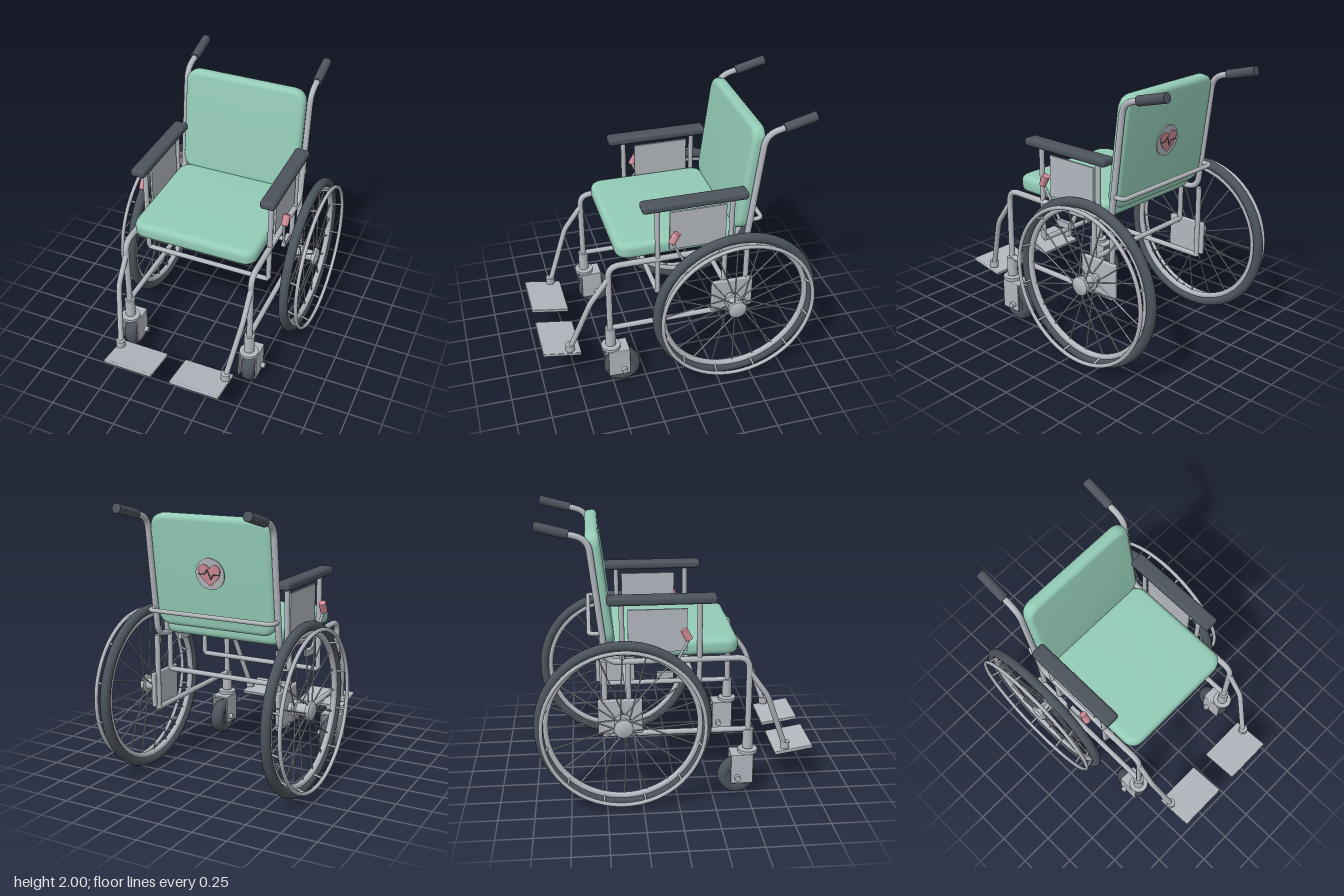
import * as THREE from 'three';
import { toCreasedNormals } from 'three/addons/utils/BufferGeometryUtils.js';
import { RoundedBoxGeometry } from 'three/addons/geometries/RoundedBoxGeometry.js';

const V = (x, y, z) => new THREE.Vector3(x, y, z);

function material(name, color) {
  const m = new THREE.MeshStandardMaterial({ color });
  m.name = name;
  return m;
}

const green = material('greenUpholstery', 0x94ccb7);
const metal = material('paleMetal', 0xb3b8bf);
const rubber = material('darkRubber', 0x4c535c);
const pink = material('pinkAccent', 0xd18c96);

function add(parent, name, geometry, mat, x = 0, y = 0, z = 0) {
  const mesh = new THREE.Mesh(geometry, mat);
  mesh.name = name;
  mesh.position.set(x, y, z);
  parent.add(mesh);
  return mesh;
}

// Straight round bar between two points
function rod(parent, name, a, b, r, mat = metal, sides = 14) {
  const d = b.clone().sub(a);
  const mesh = add(parent, name, new THREE.CylinderGeometry(r, r, d.length(), sides), mat);
  mesh.position.copy(a).add(b).multiplyScalar(0.5);
  mesh.quaternion.setFromUnitVectors(V(0, 1, 0), d.normalize());
  return mesh;
}

// Tube along straight runs joined by rounded bends
function bentTube(parent, name, pts, r, bend) {
  const path = new THREE.CurvePath();
  let from = pts[0];
  for (let i = 1; i < pts.length - 1; i++) {
    const p = pts[i];
    const before = p.clone().add(pts[i - 1].clone().sub(p).setLength(bend));
    const after = p.clone().add(pts[i + 1].clone().sub(p).setLength(bend));
    path.add(new THREE.LineCurve3(from, before));
    path.add(new THREE.QuadraticBezierCurve3(before, p, after));
    from = after;
  }
  path.add(new THREE.LineCurve3(from, pts[pts.length - 1]));
  return add(parent, name, new THREE.TubeGeometry(path, 110, r, 12), metal);
}

// Rounded rectangle slab in the XY plane with softened edges
function slab(w, h, t, corner, bevel) {
  const x = w / 2 - bevel, y = h / 2 - bevel, c = corner;
  const s = new THREE.Shape();
  s.moveTo(-x + c, -y);
  s.lineTo(x - c, -y).quadraticCurveTo(x, -y, x, -y + c);
  s.lineTo(x, y - c).quadraticCurveTo(x, y, x - c, y);
  s.lineTo(-x + c, y).quadraticCurveTo(-x, y, -x, y - c);
  s.lineTo(-x, -y + c).quadraticCurveTo(-x, -y, -x + c, -y);
  const g = new THREE.ExtrudeGeometry(s, {
    depth: t - 2 * bevel, bevelThickness: bevel, bevelSize: bevel, bevelSegments: 5, curveSegments: 6,
  });
  g.translate(0, 0, -t / 2 + bevel);
  return toCreasedNormals(g, 0.7);
}

// Large wheel, local +z points outward
function mainWheel(side) {
  const g = new THREE.Group();
  g.name = 'mainWheel';
  add(g, 'tyre', new THREE.TorusGeometry(0.573, 0.035, 14, 64), rubber);
  add(g, 'rim', new THREE.TorusGeometry(0.53, 0.022, 10, 64), metal);
  add(g, 'handRim', new THREE.TorusGeometry(0.557, 0.014, 10, 64), metal, 0, 0, 0.09);
  const polar = (r, a, z) => V(r * Math.cos(a), r * Math.sin(a), z);
  for (let i = 0; i < 12; i++) {
    const a = ((i + 0.5) / 12) * Math.PI * 2;
    rod(g, 'handRimBracket', polar(0.535, a, 0.01), polar(0.557, a, 0.09), 0.008, metal, 8);
  }
  for (let i = 0; i < 20; i++) {
    const a = (i / 20) * Math.PI * 2, twist = i % 2 ? 0.45 : -0.45;
    rod(g, 'spoke', polar(0.05, a + twist, i % 4 < 2 ? 0.045 : -0.05), polar(0.52, a, 0), 0.0055, metal, 6);
  }
  const hub = [[0, -0.13], [0.035, -0.13], [0.035, -0.07], [0.06, -0.07], [0.06, -0.045], [0.042, -0.04],
    [0.042, 0.03], [0.066, 0.035], [0.066, 0.062], [0.05, 0.072], [0, 0.072]];
  const lathe = new THREE.LatheGeometry(hub.map(p => new THREE.Vector2(...p)), 24).rotateX(Math.PI / 2);
  add(g, 'hub', toCreasedNormals(lathe, 0.6), metal);
  g.position.set(side * 0.615, 0.61, -0.38);
  g.rotation.y = side * Math.PI / 2;
  return g;
}

// Small swivelling front wheel with its fork
function caster(side) {
  const g = new THREE.Group();
  g.name = 'caster';
  const profile = [[0, -0.035], [0.06, -0.035], [0.07, -0.05], [0.105, -0.052], [0.126, -0.035], [0.136, 0],
    [0.126, 0.035], [0.105, 0.052], [0.07, 0.05], [0.06, 0.035], [0, 0.035]];
  const tyre = new THREE.LatheGeometry(profile.map(p => new THREE.Vector2(...p)), 32).rotateZ(Math.PI / 2);
  add(g, 'casterTyre', tyre, rubber, 0, 0.14, 0.425);
  for (const k of [-1, 1]) add(g, 'forkPlate', new RoundedBoxGeometry(0.014, 0.22, 0.16, 2, 0.006), metal, k * 0.064, 0.205, 0.458);
  add(g, 'forkTop', new RoundedBoxGeometry(0.142, 0.016, 0.16, 2, 0.006), metal, 0, 0.308, 0.458);
  add(g, 'swivelDisc', new THREE.CylinderGeometry(0.07, 0.07, 0.022, 28), metal, 0, 0.328, 0.505);
  rod(g, 'casterAxle', V(-0.085, 0.145, 0.425), V(0.085, 0.145, 0.425), 0.012);
  for (const k of [-1, 1]) rod(g, 'axleNut', V(k * 0.07, 0.145, 0.425), V(k * 0.1, 0.145, 0.425), 0.021, metal, 12);
  add(g, 'swivelHousing', new THREE.CylinderGeometry(0.038, 0.038, 0.145, 24), metal, 0, 0.42, 0.505);
  g.position.x = side * 0.48;
  return g;
}

// Side frame, armrest, footrest and brake
function sideFrame(s) {
  const g = new THREE.Group();
  g.name = s > 0 ? 'leftSide' : 'rightSide';
  const x = s * 0.48;
  bentTube(g, 'sideTube', [V(x, 0.34, 0.505), V(x, 1.025, 0.505), V(x, 1.025, -0.485),
    V(x, 1.877, -0.585), V(x, 1.965, -0.92)], 0.022, 0.085);
  rod(g, 'handleGrip', V(x, 1.91, -0.71), V(x, 1.968, -0.932), 0.034, rubber, 20);
  rod(g, 'lowerRail', V(x, 0.49, 0.505), V(x, 0.49, -0.5), 0.02);
  rod(g, 'rearUpright', V(x, 0.48, -0.5), V(x, 1.03, -0.5), 0.02);
  rod(g, 'rearArmPost', V(x, 1.03, -0.375), V(x, 1.44, -0.375), 0.018);
  add(g, 'axlePlate', new RoundedBoxGeometry(0.03, 0.255, 0.31, 3, 0.012), metal, s * 0.495, 0.628, -0.395);
  add(g, 'armrest', new RoundedBoxGeometry(0.112, 0.06, 0.745, 4, 0.024), rubber, s * 0.485, 1.46, -0.102);
  add(g, 'sideGuard', new THREE.BoxGeometry(0.014, 0.3, 0.405), metal, x, 1.24, -0.132);

  // Footrest
  bentTube(g, 'footrestHanger', [V(x, 0.93, 0.5), V(x, 0.735, 0.64), V(s * 0.415, 0.32, 0.787)], 0.02, 0.04);
  add(g, 'footrestClamp', new THREE.CylinderGeometry(0.033, 0.033, 0.05, 20), metal, s * 0.415, 0.325, 0.79);
  const plate = add(g, 'footplate', new RoundedBoxGeometry(0.375, 0.025, 0.28, 2, 0.006), metal, s * 0.258, 0.288, 0.852);
  plate.rotation.x = -0.165;

  // Brake
  rod(g, 'brakeLever', V(s * 0.515, 0.94, -0.05), V(s * 0.55, 1.2, 0.075), 0.01);
  rod(g, 'brakeKnob', V(s * 0.555, 1.195, 0.075), V(s * 0.555, 1.265, 0.038), 0.026, pink, 16);
  add(g, 'brakeShoe', new THREE.BoxGeometry(0.03, 0.045, 0.115), metal, s * 0.518, 0.935, -0.088);

  g.add(mainWheel(s), caster(s));
  return g;
}

// Round badge with a heart and a pulse line, facing backwards
function heartBadge() {
  const g = new THREE.Group();
  g.name = 'heartBadge';
  add(g, 'badgeDisc', new THREE.CylinderGeometry(0.11, 0.11, 0.012, 40).rotateX(Math.PI / 2), metal);
  const h = new THREE.Shape();
  h.moveTo(0, -0.08);
  h.bezierCurveTo(-0.05, -0.045, -0.085, -0.01, -0.082, 0.03);
  h.bezierCurveTo(-0.078, 0.075, -0.02, 0.08, 0, 0.038);
  h.bezierCurveTo(0.02, 0.08, 0.078, 0.075, 0.082, 0.03);
  h.bezierCurveTo(0.085, -0.01, 0.05, -0.045, 0, -0.08);
  add(g, 'heart', new THREE.ExtrudeGeometry(h, { depth: 0.008, bevelEnabled: false }), pink, 0, 0, 0.006);
  const line = [[-0.08, 0], [-0.035, 0], [-0.015, 0.035], [0.01, -0.035], [0.03, 0], [0.08, 0]];
  for (let i = 1; i < line.length; i++) {
    rod(g, 'pulseLine', V(...line[i - 1], 0.014), V(...line[i], 0.014), 0.004, rubber, 6);
  }
  return g;
}

export function createModel() {
  const model = new THREE.Group();
  model.name = 'wheelchair';

  // Cushions
  const seat = add(model, 'seatCushion', slab(0.93, 0.875, 0.118, 0.06, 0.04), green, 0, 1.099, -0.003);
  seat.rotation.x = -Math.PI / 2;
  const back = new THREE.Group();
  back.name = 'backrest';
  back.position.set(0, 1.515, -0.513);
  back.rotation.x = -0.125;
  add(back, 'backCushion', slab(0.92, 0.795, 0.095, 0.07, 0.035), green);
  const badge = heartBadge();
  badge.position.set(0, 0.01, -0.05);
  badge.rotation.y = Math.PI;
  back.add(badge);
  model.add(back);

  // Cross members
  bentTube(model, 'backBar', [V(0.48, 1.23, -0.51), V(0.48, 1.23, -0.595), V(-0.48, 1.23, -0.595), V(-0.48, 1.23, -0.51)], 0.016, 0.04);
  bentTube(model, 'frontCrossTube', [V(0.48, 1.44, 0.155), V(0.48, 0.74, 0.155), V(-0.48, 0.74, 0.155), V(-0.48, 1.44, 0.155)], 0.019, 0.02);
  bentTube(model, 'rearCrossTube', [V(0.48, 1.03, -0.335), V(0.48, 0.74, -0.335), V(-0.48, 0.74, -0.335), V(-0.48, 1.03, -0.335)], 0.019, 0.02);

  for (const s of [-1, 1]) model.add(sideFrame(s));
  return model;
}
